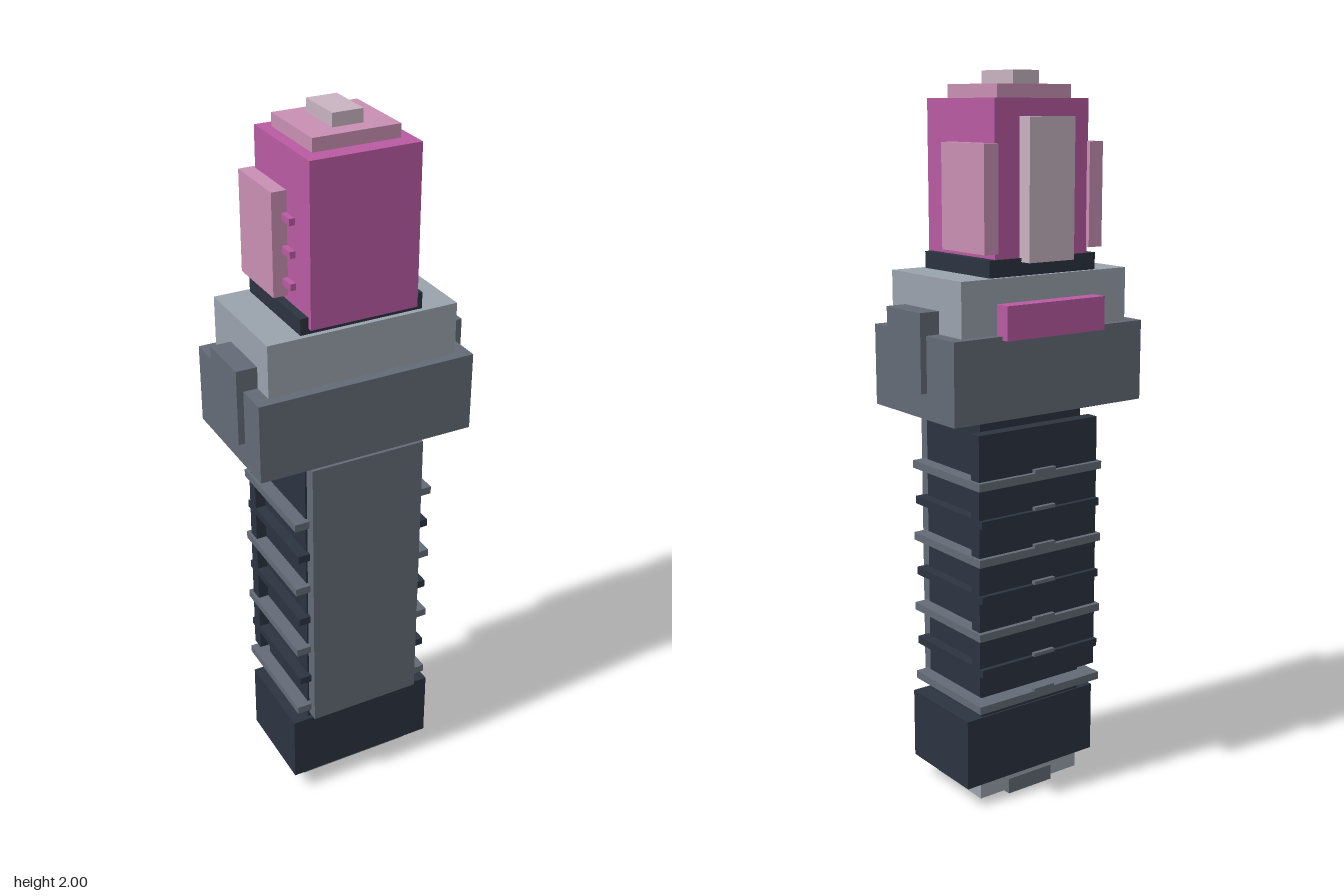
import * as THREE from 'three';

const mat = (name, color) => {
  const m = new THREE.MeshStandardMaterial({ color });
  m.name = name;
  return m;
};

export function createModel() {
  const model = new THREE.Group();
  model.name = 'hilt';
  const navy = mat('dark navy', 0x2c3440);
  const grey = mat('slate grey', 0x646b76);
  const light = mat('light grey', 0x9aa2ad);
  const pink = mat('magenta', 0xb85aa1);
  const rose = mat('rose', 0xc88fb3);
  const pale = mat('pale rose', 0xc8b4c1);

  // Box given by its extents on each axis
  const box = (name, m, x0, x1, y0, y1, z0, z1) => {
    const mesh = new THREE.Mesh(new THREE.BoxGeometry(x1 - x0, y1 - y0, z1 - z0), m);
    mesh.position.set((x0 + x1) / 2, (y0 + y1) / 2, (z0 + z1) / 2);
    mesh.name = name;
    model.add(mesh);
  };
  // Box centred on x
  const mid = (name, m, hx, ...yz) => box(name, m, -hx, hx, ...yz);
  // Mirrored pair of boxes
  const pair = (name, m, x0, x1, ...yz) => {
    box(name + 'Left', m, x0, x1, ...yz);
    box(name + 'Right', m, -x1, -x0, ...yz);
  };

  // Pommel and base
  mid('basePlate', light, 0.17, 0.012, 0.06, -0.085, 0.135);
  mid('baseClip', grey, 0.075, 0, 0.045, -0.09, -0.066);
  mid('pommel', navy, 0.22, 0.06, 0.262, -0.095, 0.177);

  // Grip
  mid('gripCore', navy, 0.17, 0.262, 1.12, -0.09, 0.165);
  mid('gripFrontPanel', grey, 0.165, 0.275, 1.115, 0.165, 0.2);
  mid('gripBackPanel', navy, 0.2, 0.345, 1.075, -0.127, -0.09);

  // Alternating ribs with a small tick behind each
  for (let i = 0; i < 7; i++) {
    const y = 0.308 + i * 0.105;
    const even = i % 2 === 0;
    mid('gripRib', even ? grey : navy, even ? 0.208 : 0.2, y - 0.011, y + 0.011, -0.14, 0.18);
    mid('ribTick', grey, 0.035, y + 0.016, y + 0.026, -0.155, -0.143);
  }

  // Guard
  mid('guardLower', grey, 0.31, 1.12, 1.34, -0.178, 0.198);
  mid('guardUpper', light, 0.27, 1.34, 1.485, -0.154, 0.17);
  pair('guardLug', grey, 0.268, 0.328, 1.19, 1.4, -0.053, 0.107);
  mid('guardBackBar', pink, 0.16, 1.33, 1.42, -0.2, -0.15);
  mid('collar', navy, 0.173, 1.485, 1.53, -0.141, 0.156);

  // Emitter block and its plates
  mid('emitter', pink, 0.151, 1.5, 1.93, -0.133, 0.17);
  pair('emitterSidePlate', rose, 0.148, 0.192, 1.545, 1.82, -0.145, 0.045);
  mid('emitterBackPlate', pale, 0.073, 1.52, 1.885, -0.176, -0.13);
  mid('emitterTopPlate', rose, 0.119, 1.93, 1.965, -0.1, 0.121);
  mid('emitterCap', pale, 0.042, 1.965, 2, -0.063, 0.074);
  for (const y of [1.585, 1.67, 1.755])
    pair('emitterTab', pink, 0.148, 0.166, y - 0.009, y + 0.009, 0.04, 0.089);

  return model;
}
